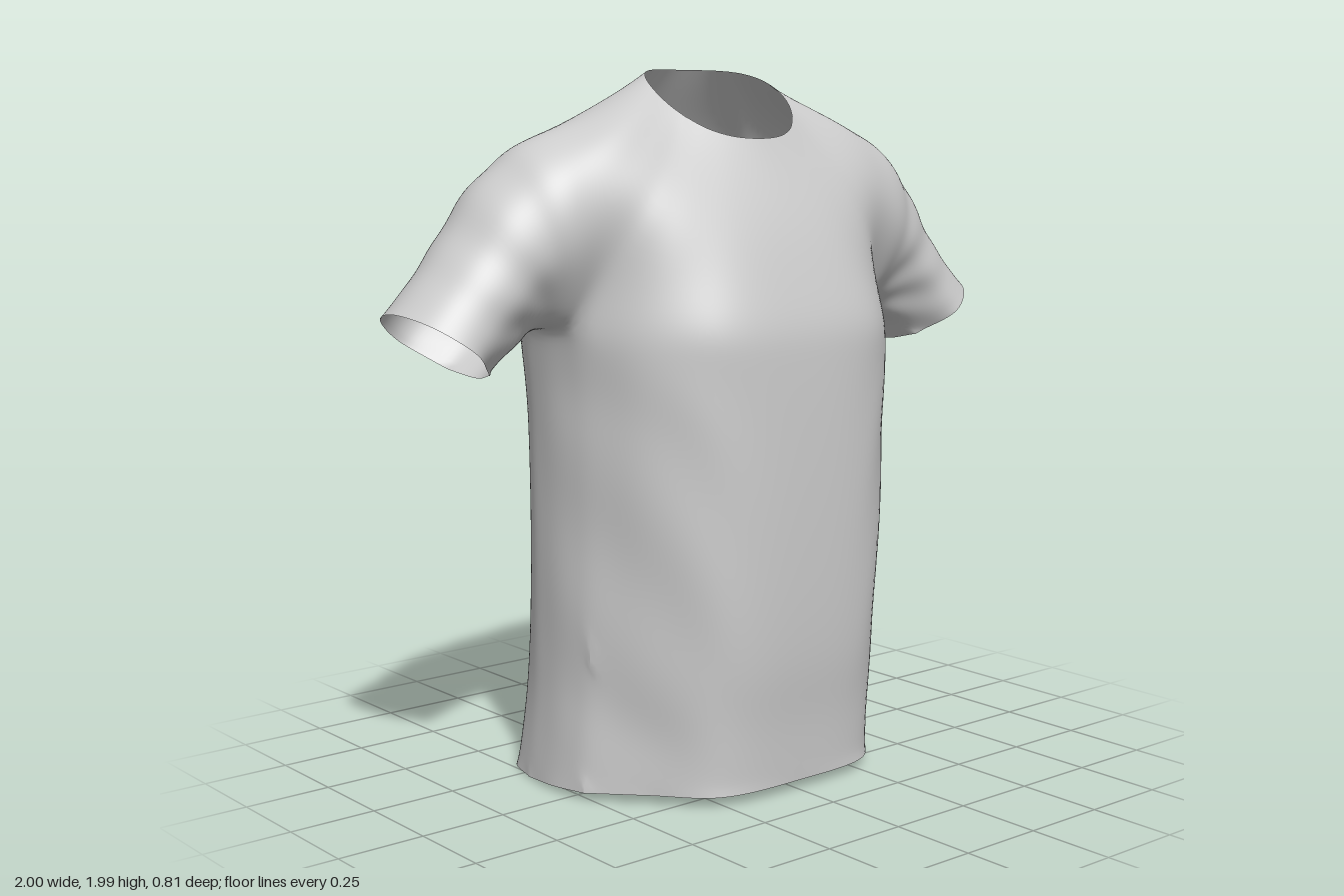
import * as THREE from 'three';

const N = 10; // samples per span between control points
const V = (x, y, z) => new THREE.Vector3(x, y, z);
const flip = p => V(-p.x, p.y, p.z);

// Oval neckline that rises from front to back
function neckline(degrees) {
  const a = degrees * Math.PI / 180;
  const rise = Math.sin((1 - Math.cos(a)) * Math.PI / 4) ** 1.2;
  return V(.226 * Math.sin(a), 1.8 + .19 * rise, .015 + .172 * Math.cos(a));
}

// Guide lines, front centre to back centre: neckline angle, halfway point, chest or armhole point
const guides = [
  [0, [0, 1.565, .307], [0, 1.3, .4]],
  [23, [.17, 1.565, .297], [.27, 1.3, .375]],
  [42, [.305, 1.575, .26], [.435, 1.3, .24]],
  [60, [.395, 1.605, .213], [.53, 1.31, .06]],    // front armpit
  [72, [.425, 1.715, .162], [.58, 1.54, .148]],
  [85, [.43, 1.82, .085], [.605, 1.71, .1]],
  [100, [.42, 1.86, -.035], [.615, 1.795, -.05]], // shoulder
  [115, [.43, 1.828, -.17], [.62, 1.72, -.21]],
  [130, [.425, 1.755, -.255], [.615, 1.56, -.285]],
  [140, [.4, 1.65, -.305], [.535, 1.31, -.2]],    // back armpit
  [150, [.315, 1.675, -.33], [.445, 1.3, -.325]],
  [163, [.165, 1.695, -.335], [.28, 1.3, -.385]],
  [180, [0, 1.695, -.336], [0, 1.3, -.388]],
].map(([angle, mid, end]) => [neckline(angle), V(...mid), V(...end)]);
const seam = guides.map(g => g[2]);
const underarm = V(.54, 1.295, -.07);

// Torso section, front centre to back centre, and its sizes down to the hem
const section = [[0, 1], [.5, .935], [.82, .66], [.97, .28], [1, 0], [.98, -.4], [.85, -.8], [.53, -.985], [0, -1]];
const torsoRows = [ // y, half width, front z, back z, front corner, back corner
  [1.1, .522, .408, -.39, 1, .98], [.75, .516, .41, -.393, .98, .97], [.4, .515, .4, -.395, .95, .98],
  [.2, .52, .378, -.397, .93, 1], [.015, .535, .366, -.4, .92, 1.03]];
const torsoStart = [...seam.slice(0, 4), underarm, ...seam.slice(9)];
const torso = section.map(([sx, sz], i) => [torsoStart[i],
  ...torsoRows.map(([y, w, front, back, frontCorner, backCorner], r) => {
    const k = i === 2 ? frontCorner : i === 6 ? backCorner : 1;
    const hem = r === torsoRows.length - 1 ? .015 * Math.tanh(2 * sz) : 0;
    return V(w * sx * k, y + hem, -.07 + (sz > 0 ? front + .07 : -back - .07) * sz * k);
  })]);

// Sleeve rings: centre x, y, z, then half height vector x, y and half depth
const sleeveRows = [[.67, 1.485, -.083, .07, .195, .197], [.775, 1.37, -.087, .095, .13, .186], [.88, 1.27, -.08, .12, .09, .185]];
const sleeveStart = [...seam.slice(3, 10), underarm];
const sleeve = [-55, 0, 45, 90, 135, 180, 235, 270].map((degrees, i) => {
  const a = degrees * Math.PI / 180, s = Math.sin(a), c = Math.cos(a);
  return [sleeveStart[i], ...sleeveRows.map(([x, y, z, hx, hy, d]) => V(x + hx * s, y + hy * s, z + d * c))];
});

const mirrorX = cols => cols.map(c => c.map(flip)).reverse();
const acrossFront = half => [...mirrorX(half).slice(0, -1), ...half];
const acrossBack = half => [...half, ...mirrorX(half).slice(1)];
const sample = pts => new THREE.CatmullRomCurve3(pts).getPoints((pts.length - 1) * N);

// Shared vertex pool, so the cloth is continuous between its parts
function createCloth() {
  const points = [], lookup = new Map(), parts = {};
  const vertex = p => {
    const key = [p.x, p.y, p.z].map(v => Math.round(v * 1e4)).join();
    if (!lookup.has(key)) { lookup.set(key, points.length); points.push(p); }
    return lookup.get(key);
  };
  // Smooth patch through a grid of control points given as columns
  const patch = (name, cols) => {
    const index = parts[name] ??= [];
    const lines = cols.map(sample);
    const rows = lines[0].map((_, r) => sample(lines.map(l => l[r])).map(vertex));
    for (let r = 0; r + 1 < rows.length; r++) for (let c = 0; c + 1 < rows[r].length; c++) {
      const [a, b, d, e] = [rows[r][c], rows[r + 1][c], rows[r + 1][c + 1], rows[r][c + 1]];
      index.push(a, b, d, a, d, e);
    }
  };
  return { points, parts, patch };
}

// Relax the cloth, keeping its open edges in place
function relax(points, index, passes) {
  const edges = new Map(), near = points.map(() => new Set()), fixed = new Set();
  for (let i = 0; i < index.length; i += 3) for (let k = 0; k < 3; k++) {
    const a = index[i + k], b = index[i + (k + 1) % 3];
    near[a].add(b); near[b].add(a);
    const key = Math.min(a, b) + '_' + Math.max(a, b);
    edges.set(key, (edges.get(key) || 0) + 1);
  }
  for (const [key, n] of edges) if (n === 1) key.split('_').forEach(v => fixed.add(+v));
  for (let p = 0; p < passes; p++) {
    const next = points.map((v, i) => {
      if (fixed.has(i)) return v.clone();
      const mean = V(0, 0, 0);
      near[i].forEach(j => mean.add(points[j]));
      return v.clone().lerp(mean.divideScalar(near[i].size), .6);
    });
    next.forEach((v, i) => points[i].copy(v));
  }
}

// Depth of the soft folds at a point of the cloth
function foldDepth({ x, y, z }) {
  const step = THREE.MathUtils.smoothstep, ax = Math.abs(x);
  const low = step(y, .02, .3) * (1 - step(y, 1.0, 1.3));
  if (ax > .6 && y > 1.15) { // creases radiating from the underarm
    const a = Math.atan2(y - 1.25, ax - .45);
    return .0025 * Math.sin(a * 16 + z * 9) * step(ax, .6, .68) * (1 - step(ax, .8, .95));
  }
  const back = 1 - step(z, -.2, 0);
  const drape = .006 * Math.cos(ax * 17 + y * 1.5); // long drapes on the back
  const slant = .003 * Math.sin(y * 14 - ax * 24) * step(ax, .15, .4); // slanting drapes at the sides
  return low * (drape * back + slant * (1 - back));
}

export function createModel() {
  const { points, parts, patch } = createCloth();

  // Yoke: chest, shoulders and upper back
  const shoulder = guides.slice(3, 10);
  patch('yoke', acrossFront(guides.slice(0, 4)));
  patch('yoke', acrossBack(guides.slice(9)));
  patch('yoke', shoulder);
  patch('yoke', mirrorX(shoulder));

  // Torso: front, back and side panels down to the hem
  const side = torso.slice(3, 6);
  patch('torso', acrossFront(torso.slice(0, 4)));
  patch('torso', acrossBack(torso.slice(5)));
  patch('torso', side);
  patch('torso', mirrorX(side));

  // Sleeves: upper part and underarm
  const upper = sleeve.slice(0, 7), under = [sleeve[6], sleeve[7], sleeve[0]];
  for (const cols of [upper, under]) {
    patch('leftSleeve', cols);
    patch('rightSleeve', mirrorX(cols));
  }

  const all = Object.values(parts).flat();
  relax(points, all, 10);

  // Press the folds into the cloth
  const cloth = new THREE.BufferGeometry().setFromPoints(points);
  cloth.setIndex(all);
  cloth.computeVertexNormals();
  const normal = cloth.attributes.normal;
  points.forEach((p, i) => p.addScaledVector(V(0, 0, 0).fromBufferAttribute(normal, i), foldDepth(p)));
  cloth.setFromPoints(points);
  cloth.computeVertexNormals();

  const group = new THREE.Group();
  group.name = 'shirt';
  const material = new THREE.MeshStandardMaterial({ color: 0xcccccc, side: THREE.DoubleSide });
  for (const [name, index] of Object.entries(parts)) {
    const geometry = new THREE.BufferGeometry();
    geometry.setAttribute('position', cloth.attributes.position);
    geometry.setAttribute('normal', cloth.attributes.normal);
    geometry.setIndex(index);
    const mesh = new THREE.Mesh(geometry, material);
    mesh.name = name;
    group.add(mesh);
  }
  return group;
}
